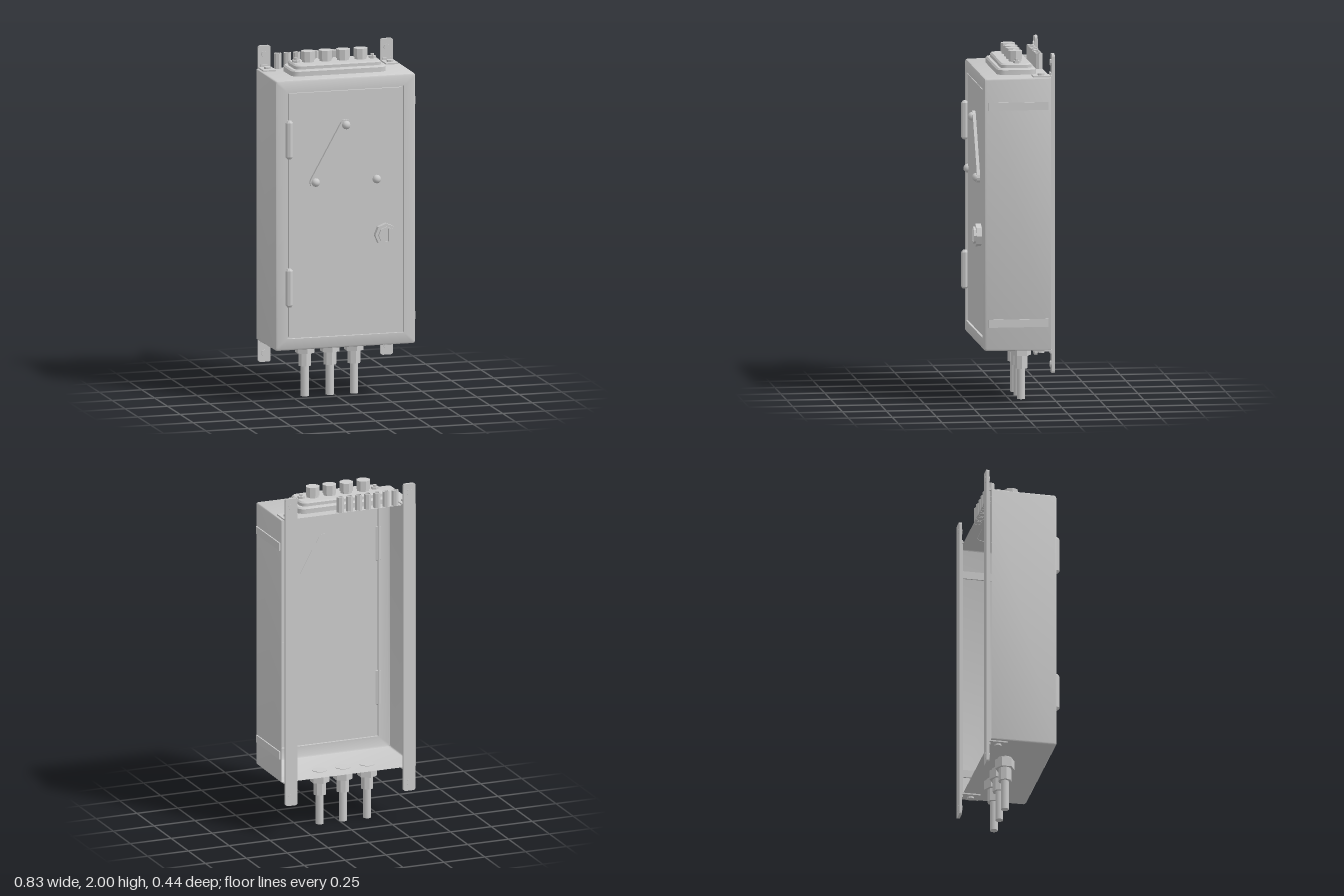
import * as THREE from 'three';
import { toCreasedNormals } from 'three/addons/utils/BufferGeometryUtils.js';

const grey = new THREE.MeshStandardMaterial({ color: 0xcccccc, side: THREE.DoubleSide });
const flat = new THREE.MeshStandardMaterial({ color: 0xcccccc, side: THREE.DoubleSide, flatShading: true });

// Rounded rectangle points, counter-clockwise, n + 1 points per corner
function rectPoints(w, h, r, n = 3) {
  const pts = [];
  const corners = [[1, 1], [-1, 1], [-1, -1], [1, -1]];
  corners.forEach(([sx, sy], c) => {
    for (let i = 0; i <= n; i++) {
      const a = (c + i / n) * Math.PI / 2;
      pts.push(new THREE.Vector2(sx * (w / 2 - r) + r * Math.cos(a), sy * (h / 2 - r) + r * Math.sin(a)));
    }
  });
  return pts;
}

// Skin through rounded rectangles [w, h, r, z]; the last one is capped
function loftRects(rings) {
  const pos = [], idx = [];
  let n = 0;
  rings.forEach(([w, h, r, z]) => {
    const pts = rectPoints(w, h, r);
    n = pts.length;
    pts.forEach(p => pos.push(p.x, p.y, z));
  });
  for (let k = 0; k < rings.length - 1; k++) {
    for (let i = 0; i < n; i++) {
      const a = k * n + i, b = k * n + (i + 1) % n;
      idx.push(a, b, b + n, a, b + n, a + n);
    }
  }
  const last = (rings.length - 1) * n;
  for (let i = 1; i < n - 1; i++) idx.push(last, last + i, last + i + 1);
  const g = new THREE.BufferGeometry();
  g.setAttribute('position', new THREE.Float32BufferAttribute(pos, 3));
  g.setIndex(idx);
  return toCreasedNormals(g, 0.6);
}

export function createModel() {
  const model = new THREE.Group();

  function add(name, geo, x, y, z, mat = grey, parent = model) {
    const m = new THREE.Mesh(geo, mat);
    m.name = name;
    m.position.set(x, y, z);
    parent.add(m);
    return m;
  }
  const box = (w, h, d) => new THREE.BoxGeometry(w, h, d);
  const cyl = (r, h, n, rTop = r) => new THREE.CylinderGeometry(rTop, r, h, n);
  const facing = (geo) => geo.rotateX(Math.PI / 2);

  // Open-backed shell with a groove around the door
  add('cabinetShell', loftRects([
    [0.825, 1.555, 0.006, -0.2],
    [0.825, 1.555, 0.012, 0.165],
    [0.818, 1.548, 0.012, 0.175],
    [0.802, 1.532, 0.012, 0.18],
    [0.686, 1.42, 0.003, 0.18],
    [0.686, 1.42, 0.003, 0.162],
    [0.668, 1.402, 0.003, 0.162],
    [0.668, 1.402, 0.003, 0.176],
  ]), -0.003, 1.0925, 0);

  // Hinges: round pins with tapered ends
  for (const y of [1.53, 0.678]) {
    const pin = [[0, -0.11], [0.012, -0.11], [0.021, -0.098], [0.021, 0.098], [0.012, 0.11], [0, 0.11]]
      .map(([r, h]) => new THREE.Vector2(r, h));
    add('hinge', new THREE.LatheGeometry(pin, 8), -0.339, y, 0.19, flat);
  }

  // Triangular plate with rounded corners and dome screws
  const screws = [[-0.005, 1.598], [-0.185, 1.277], [0.175, 1.277]];
  const tri = new THREE.Shape();
  const arcs = [[0, 30, 150], [1, 150, 270], [2, 270, 390]];
  arcs.forEach(([k, a0, a1]) => {
    for (let i = 0; i <= 4; i++) {
      const a = THREE.MathUtils.degToRad(a0 + (a1 - a0) * i / 4);
      const x = screws[k][0] + 0.032 * Math.cos(a), y = screws[k][1] + 0.032 * Math.sin(a);
      if (k === 0 && i === 0) tri.moveTo(x, y); else tri.lineTo(x, y);
    }
  });
  add('triangularPlate', new THREE.ExtrudeGeometry(tri, { depth: 0.02, bevelEnabled: false }), 0, 0, 0.174);
  for (const [x, y] of screws) {
    const dome = facing(new THREE.SphereGeometry(0.025, 12, 5, 0, Math.PI * 2, 0, Math.PI / 2));
    add('plateScrew', dome, x, y, 0.194);
  }

  // Octagonal lock with a key slot
  const lock = new THREE.Group();
  lock.name = 'lock';
  lock.position.set(0.228, 0.955, 0);
  model.add(lock);
  add('lockBody', facing(cyl(0.065, 0.032, 8)), 0, 0, 0.191, flat, lock);
  const face = new THREE.Shape();
  for (let i = 0; i < 8; i++) {
    const a = i * Math.PI / 4;
    face[i ? 'lineTo' : 'moveTo'](0.048 * Math.cos(a), 0.048 * Math.sin(a));
  }
  face.holes.push(new THREE.Path(rectPoints(0.022, 0.075, 0.003).reverse()));
  add('lockFace', new THREE.ExtrudeGeometry(face, { depth: 0.013, bevelEnabled: false }), 0, 0, 0.207, flat, lock);

  // Strips on the left wall
  for (const y of [1.71, 0.473]) add('sideStrip', box(0.016, 0.045, 0.34), 0.409, y, -0.015);

  // Mounting straps, with an angled foot and bolts at both ends
  for (const x of [-0.365, 0.357]) {
    const strap = new THREE.Group();
    strap.name = 'mountingStrap';
    strap.position.x = x;
    model.add(strap);
    add('strapRail', box(0.05, 1.6, 0.012), 0, 1.0925, -0.206, grey, strap);
    const outline = new THREE.Shape(rectPoints(0.074, 1.82, 0.014));
    add('strapPlate', new THREE.ExtrudeGeometry(outline, { depth: 0.016, bevelEnabled: false }), 0, 1.09, -0.224, grey, strap);
    for (const s of [1, -1]) {
      const wallY = 1.0925 + s * 0.7775;
      add('strapFoot', box(0.074, 0.008, 0.11), 0, wallY + s * 0.004, -0.156, grey, strap);
      add('footBolt', cyl(0.02, 0.012, 8), 0, wallY + s * 0.013, -0.15, flat, strap);
      add('tabBolt', facing(cyl(0.02, 0.024, 8)), 0, 1.09 + s * 0.86, -0.213, flat, strap);
    }
  }

  // Stepped gland plate on the roof
  for (const [w, d, y, h, r] of [[0.562, 0.224, 1.868, 0.037, 0.045], [0.512, 0.177, 1.9, 0.03, 0.035]]) {
    const plate = loftRects([[w, d, r, 0], [w, d, r, h - 0.008], [w - 0.016, d - 0.016, r - 0.006, h]]);
    add('glandPlate', plate.rotateX(-Math.PI / 2), -0.007, y, -0.026);
  }

  // Large roof glands and plate bolts
  for (let i = 0; i < 4; i++) {
    const x = -0.162 + i * 0.103;
    add('roofGlandCollar', cyl(0.036, 0.02, 8), x, 1.937, -0.03, flat);
    add('roofGland', cyl(0.041, 0.05, 8), x, 1.967, -0.03, flat);
  }
  for (const x of [-0.233, 0.217]) {
    add('plateBoltNut', cyl(0.022, 0.014, 6), x, 1.936, -0.03, flat);
    add('plateBoltTip', cyl(0.011, 0.026, 6), x, 1.942, -0.03, flat);
  }

  // Row of small tubes along the back of the roof
  const tube = [[0.022, 0], [0.022, 0.09], [0.015, 0.09], [0.015, 0.075], [0, 0.075]]
    .map(([r, h]) => new THREE.Vector2(r, h));
  for (let i = 0; i < 7; i++) {
    add('smallTube', new THREE.LatheGeometry(tube, 8), -0.295 + i * 0.0558, 1.868, -0.178, flat);
  }

  // Cable glands below, with cut cables
  for (const x of [-0.17, -0.022, 0.12]) {
    const parts = [
      ['glandCollar', 0.043, 0.302, 0.318, 12],
      ['glandNut', 0.056, 0.25, 0.304, 6],
      ['glandCap', 0.038, 0.175, 0.252, 8],
      ['cable', 0.023, 0, 0.18, 10],
    ];
    for (const [name, r, y0, y1, n] of parts) {
      add(name, cyl(r, y1 - y0, n), x, (y0 + y1) / 2, -0.068, n < 9 ? flat : grey);
    }
  }

  return model;
}
